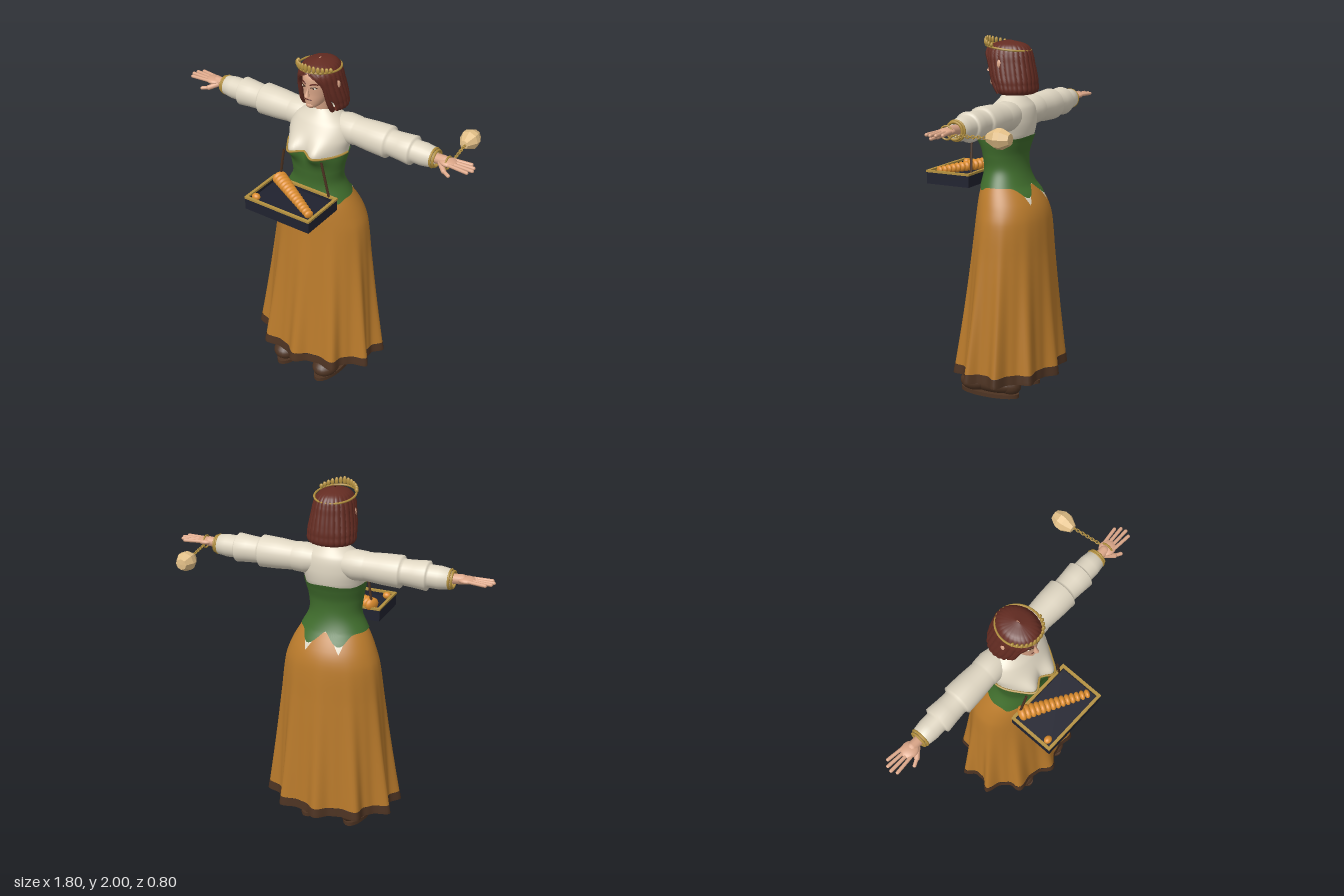
import * as THREE from 'three';
import { ParametricGeometry } from 'three/addons/geometries/ParametricGeometry.js';

const V = (x, y, z) => new THREE.Vector3(x, y, z);
const RAD = Math.PI / 180;
const bell = (d, w) => Math.exp(-((d / w) ** 2));

// Smooth lookup in a table of rows [y, halfWidth, frontZ, backZ, ...]
function at(table, y) {
  const last = table.length - 1;
  let i = 0;
  while (i < last - 1 && y > table[i + 1][0]) i++;
  const slope = (k, c) => {
    const p = table[Math.max(k - 1, 0)], q = table[Math.min(k + 1, last)];
    return (q[c] - p[c]) / (q[0] - p[0]);
  };
  const h = table[i + 1][0] - table[i][0];
  const t = THREE.MathUtils.clamp((y - table[i][0]) / h, 0, 1), t2 = t * t, t3 = t2 * t;
  return table[i].map((v, c) => (2 * t3 - 3 * t2 + 1) * v + (3 * t2 - 2 * t3) * table[i + 1][c]
    + h * ((t3 - 2 * t2 + t) * slope(i, c) + (t3 - t2) * slope(i + 1, c)));
}

// Point on an oval cross-section; angle 0 is the front, +90 degrees the left
function oval(table, a, y, grow = 0, k = 1) {
  const [, w, f, b] = at(table, y);
  return V((w * k + grow) * Math.sin(a), y, (f + b) / 2 + ((f - b) / 2 * k + grow) * Math.cos(a));
}

const SKIRT = [[0.13, 0.365, 0.25, -0.295], [0.5, 0.325, 0.203, -0.268], [0.8, 0.293, 0.17, -0.248],
  [1.0, 0.27, 0.15, -0.235], [1.08, 0.245, 0.145, -0.217], [1.15, 0.212, 0.138, -0.18], [1.215, 0.172, 0.122, -0.13]];
const BODY = [[1.08, 0.245, 0.145, -0.217], [1.15, 0.212, 0.138, -0.18], [1.2, 0.18, 0.125, -0.14],
  [1.28, 0.142, 0.114, -0.11], [1.36, 0.146, 0.122, -0.105], [1.43, 0.16, 0.132, -0.125], [1.48, 0.168, 0.128, -0.143],
  [1.55, 0.178, 0.112, -0.15], [1.62, 0.155, 0.072, -0.14], [1.66, 0.1, 0.038, -0.112], [1.69, 0.055, 0.015, -0.08]];
const HEAD = [[1.722, 0.012, 0.083, 0.04], [1.735, 0.035, 0.094, 0], [1.77, 0.058, 0.1, -0.06], [1.81, 0.069, 0.1, -0.08],
  [1.86, 0.075, 0.103, -0.1], [1.91, 0.074, 0.097, -0.1], [1.95, 0.055, 0.06, -0.075], [1.965, 0.005, 0.005, -0.02]];
// The fifth column is half the angle of the opening around the face
const HAIR = [[1.685, 0.06, -0.01, -0.1, 62], [1.695, 0.118, 0.04, -0.158, 60], [1.75, 0.13, 0.07, -0.168, 55],
  [1.8, 0.125, 0.092, -0.162, 46], [1.86, 0.115, 0.107, -0.15, 38], [1.9, 0.108, 0.114, -0.142, 28],
  [1.935, 0.094, 0.103, -0.128, 0], [1.96, 0.068, 0.07, -0.095, 0], [1.978, 0.004, 0, -0.02, 0]];

function bodyPoint(a, y, grow = 0) {
  const p = oval(BODY, a, y, grow);
  if (Math.cos(a) > 0) p.z += 0.055 * bell(y - 1.485, 0.055) * bell(Math.abs(p.x) - 0.075, 0.052);
  return p;
}
function skirtPoint(a, y, grow = 0) {
  const drop = THREE.MathUtils.clamp((1.1 - y) / 0.97, 0, 1);
  return oval(SKIRT, a, y, grow, 1 + 0.085 * drop ** 1.4 * (Math.cos(10 * a) + 0.3 * Math.cos(20 * a) - 0.25));
}
const bustEdge = a => 1.465 + 0.018 * Math.max(0, Math.cos(a)) + 0.006 * Math.cos(4 * a);

export function createModel() {
  const model = new THREE.Group();
  model.name = 'pastrySeller';
  const mat = (name, color, side = THREE.FrontSide) => {
    const m = new THREE.MeshStandardMaterial({ color, side });
    m.name = name;
    return m;
  };
  const skirtCloth = mat('ochre cloth', 0xb97a2b, THREE.DoubleSide);
  const green = mat('green bodice', 0x3f6c2c, THREE.DoubleSide);
  const cream = mat('cream linen', 0xdfd6c2, THREE.DoubleSide);
  const hairRed = mat('auburn hair', 0x642c22, THREE.DoubleSide);
  const brown = mat('brown leather', 0x4d3322, THREE.DoubleSide);
  const skin = mat('skin', 0xdba688);
  const gold = mat('gold', 0xb3903f);
  const navy = mat('navy tray', 0x20222f);
  const pastry = mat('pastry', 0xdb8c2e);
  const wood = mat('pale wood', 0xe3c088);

  const add = (name, geo, material, pos) => {
    const m = new THREE.Mesh(geo, material);
    m.name = name;
    if (pos) m.position.copy(pos);
    model.add(m);
    return m;
  };
  // Wrapped surface: fn(u, v) gives a point, u runs around and v upward
  const wrap = (name, fn, nu, nv, material) =>
    add(name, new ParametricGeometry((u, v, p) => p.copy(fn(u, v)), nu, nv), material);
  const ball = (name, pos, rx, ry, rz, material) =>
    add(name, new THREE.SphereGeometry(1, 20, 14).scale(rx, ry, rz), material, pos);
  const rod = (name, a, b, r, material) => {
    const d = b.clone().sub(a), m = add(name, new THREE.CapsuleGeometry(r, d.length(), 5, 12), material);
    m.position.copy(a).add(b).multiplyScalar(0.5);
    m.quaternion.setFromUnitVectors(V(0, 1, 0), d.normalize());
    return m;
  };
  const tube = (name, pts, r, material, closed = false) =>
    add(name, new THREE.TubeGeometry(new THREE.CatmullRomCurve3(pts, closed), pts.length * 4, r, 6, closed), material);
  const box = (name, w, h, d, x, y, z, material) => add(name, new THREE.BoxGeometry(w, h, d), material, V(x, y, z));
  const turn = u => (u * 2 - 1) * Math.PI;
  const lerp = THREE.MathUtils.lerp;

  // Pleated skirt with a dark hem
  wrap('skirt', (u, v) => skirtPoint(turn(u), lerp(0.18, 1.215, v)), 160, 40, skirtCloth);
  wrap('skirtHem', (u, v) => skirtPoint(turn(u), lerp(0.128, 0.18, v), 0.002), 160, 3, brown);

  // Bodice with pointed tails, linen showing beneath them, and the blouse above
  const backTail = a => Math.abs(Math.abs(a) - 156 * RAD);
  const tailEdge = a => 1.195 - 0.055 * bell(backTail(a), 0.26) - 0.02 * bell(Math.abs(a) - 1.0, 0.2)
    + 0.015 * bell(Math.PI - Math.abs(a), 0.12);
  wrap('linenTails', (u, v) => {
    const a = turn(u);
    return bodyPoint(a, lerp(1.2 - 0.1 * Math.max(0, 1 - backTail(a) / 0.24), 1.24, v), 0.005);
  }, 120, 8, cream);
  wrap('bodice', (u, v) => {
    const a = turn(u);
    return bodyPoint(a, lerp(tailEdge(a), bustEdge(a), v), 0.008);
  }, 96, 32, green);
  wrap('blouse', (u, v) => bodyPoint(turn(u), lerp(1.44, 1.69, v), 0.002), 80, 30, cream);
  const trim = Array.from({ length: 49 }, (_, i) => {
    const a = (i / 24 - 1) * 1.6;
    return bodyPoint(a, bustEdge(a), 0.009);
  });
  tube('bustTrim', trim, 0.006, gold);

  // Neck and head
  rod('neck', V(0, 1.66, -0.03), V(0, 1.78, -0.01), 0.045, skin);
  wrap('head', (u, v) => oval(HEAD, turn(u), lerp(1.722, 1.965, v)), 40, 36, skin);
  const face = (x, y, out = 0) => {
    const [, w, f, b] = at(HEAD, y);
    return V(x, y, (f + b) / 2 + (f - b) / 2 * Math.sqrt(1 - (x / w) ** 2) + out);
  };
  add('nose', new THREE.ConeGeometry(0.013, 0.05, 12).scale(1, 1, 1.3).rotateX(-0.2), skin, face(0, 1.828, 0.004));
  ball('chin', V(0, 1.744, 0.085), 0.024, 0.016, 0.016, skin);
  tube('upperLip', [-0.02, 0, 0.02].map(x => face(x, x ? 1.778 : 1.781, 0)), 0.0035, hairRed);
  for (const s of [1, -1]) {
    ball('eyeWhite', face(s * 0.03, 1.85, -0.002), 0.014, 0.007, 0.005, cream);
    ball('iris', face(s * 0.03, 1.85, 0.001), 0.006, 0.006, 0.004, brown);
    tube('upperLid', [0.014, 0.03, 0.046].map((x, i) => face(s * x, [1.852, 1.858, 1.852][i], 0.002)), 0.0025, brown);
    tube('eyebrow', [0.012, 0.03, 0.05].map((x, i) => face(s * x, [1.868, 1.876, 1.87][i], 0.001)), 0.004, hairRed);
    ball('ear', V(s * 0.108, 1.855, -0.01), 0.014, 0.028, 0.016, skin);
  }

  // Bobbed hair with strand ridges, and rolled locks framing the face
  wrap('hair', (u, v) => {
    const y = lerp(1.685, 1.978, v), open = Math.max(0, at(HAIR, y)[4]) * RAD;
    const a = open + u * (2 * Math.PI - 2 * open);
    return oval(HAIR, a, y, 0, 1 + 0.035 * Math.abs(Math.sin(13 * a)) * Math.min(1, (1 - v) * 5));
  }, 150, 44, hairRed);
  for (const s of [1, -1]) {
    tube('faceLock', [[0.015, 1.935, 0.098], [0.052, 1.91, 0.092], [0.076, 1.86, 0.066], [0.083, 1.8, 0.05],
      [0.088, 1.74, 0.03], [0.088, 1.7, 0.005]].map(p => V(s * p[0], p[1], p[2])), 0.014, hairRed);
  }

  // Tilted circlet with leaf points at the front
  const crownPoint = a => V(0.108 * Math.sin(a), 1.937 + 0.014 * Math.cos(a), -0.006 + 0.125 * Math.cos(a));
  tube('circlet', Array.from({ length: 24 }, (_, i) => crownPoint(i * Math.PI / 12)), 0.006, gold, true);
  for (let i = -6; i <= 6; i++) {
    const a = i * 0.2, h = 0.024 - 0.0018 * Math.abs(i);
    ball('circletLeaf', crownPoint(a).add(V(0, h * 0.95, 0.003)), 0.011, h, 0.008, gold);
  }

  // Sleeves in puffed tiers, cuffs and hands
  const tiers = [[0.08, 0.07], [0.14, 0.083], [0.2, 0.08], [0.21, 0.077], [0.3, 0.084], [0.4, 0.088], [0.405, 0.074], [0.42, 0.07],
    [0.48, 0.074], [0.545, 0.08], [0.55, 0.066], [0.56, 0.061], [0.61, 0.062], [0.665, 0.054], [0.67, 0.035]];
  for (const s of [1, -1]) {
    const sleeve = new THREE.LatheGeometry(tiers.map(([x, r]) => new THREE.Vector2(r, x)), 28).rotateZ(-s * Math.PI / 2);
    add('sleeve', sleeve, cream, V(0, 1.583, -0.063));
    for (const [x, r] of [[0.668, 0.05], [0.682, 0.044]])
      add('bracelet', new THREE.TorusGeometry(r, 0.007, 8, 28).rotateY(Math.PI / 2), gold, V(s * x, 1.583, -0.063));
    const P = (x, y, z) => V(s * x, y, z);
    rod('wrist', P(0.64, 1.585, -0.06), P(0.73, 1.59, -0.06), 0.027, skin);
    ball('palm', P(0.752, 1.59, -0.058), 0.05, 0.019, 0.044, skin);
    [[0.862, -0.102], [0.886, -0.078], [0.893, -0.05], [0.878, -0.02]].forEach(([x, z], i) =>
      rod('finger', P(0.76, 1.592, -0.088 + i * 0.02), P(x, 1.59, z), 0.0095, skin));
    rod('thumb', P(0.715, 1.58, -0.04), P(0.755, 1.562, -0.008), 0.014, skin);
    rod('thumbTip', P(0.755, 1.562, -0.008), P(0.79, 1.555, 0.008), 0.01, skin);
  }

  // Chained wooden weight on the left hand
  const chainStart = V(0.755, 1.572, -0.08), chainEnd = V(0.728, 1.572, -0.275);
  for (let i = 0; i <= 13; i++) {
    const link = add('chainLink', new THREE.TorusGeometry(0.008, 0.0028, 5, 10).scale(1.3, 1, 1).rotateY(Math.PI / 2),
      gold, chainStart.clone().lerp(chainEnd, i / 13));
    link.rotation.z = (i % 2) * Math.PI / 2;
  }
  add('handRing', new THREE.TorusGeometry(0.034, 0.005, 6, 20).rotateY(Math.PI / 2), gold, V(0.752, 1.585, -0.058));
  const weight = new THREE.LatheGeometry([[0, 0], [0.03, 0.002], [0.053, 0.045], [0.053, 0.075], [0.024, 0.128], [0, 0.132]]
    .map(p => new THREE.Vector2(...p)), 8).rotateX(Math.PI / 2).toNonIndexed();
  weight.computeVertexNormals();
  add('woodenWeight', weight, wood, V(0.722, 1.572, -0.4));

  // Serving tray with raised walls, gold rim and straps
  box('trayFloor', 0.41, 0.045, 0.265, 0, 1.21, 0.2625, navy);
  for (const s of [1, -1]) {
    box('traySide', 0.012, 0.07, 0.265, s * 0.199, 1.222, 0.2625, navy);
    box('trayEnd', 0.386, 0.07, 0.012, 0, 1.222, 0.2625 + s * 0.1265, navy);
    box('trayRimSide', 0.016, 0.012, 0.27, s * 0.2, 1.257, 0.2625, gold);
    box('trayRimEnd', 0.4, 0.012, 0.016, 0, 1.257, 0.2625 + s * 0.127, gold);
    tube('trayStrap', [V(s * 0.12, 1.465, 0.155), V(s * 0.137, 1.38, 0.15), V(s * 0.158, 1.26, 0.14)], 0.007, brown);
  }

  // Row of overlapping pastries and one loose bun
  for (let i = 0; i < 14; i++) {
    const t = i / 13, r = lerp(0.037, 0.022, t);
    const bun = ball('pastryRoll', V(lerp(-0.15, 0.165, t), 1.24 + r * 0.9, lerp(0.155, 0.335, t)), r * 0.65, r, r * 1.15, pastry);
    bun.rotation.y = -0.52;
  }
  ball('looseBun', V(-0.165, 1.253, 0.35), 0.024, 0.02, 0.02, pastry);

  // Boots
  for (const s of [1, -1]) {
    rod('bootLeg', V(s * 0.115, 0.09, -0.075), V(s * 0.1, 0.6, -0.05), 0.052, brown);
    ball('bootFoot', V(s * 0.13, 0.065, 0.02), 0.064, 0.056, 0.16, brown);
    ball('bootToe', V(s * 0.138, 0.065, 0.13), 0.074, 0.056, 0.09, brown);
    ball('bootHeel', V(s * 0.12, 0.065, -0.08), 0.056, 0.06, 0.065, brown);
    const sole = new THREE.CylinderGeometry(1, 1, 0.022, 28).scale(0.07, 1, 0.18);
    add('bootSole', sole, brown, V(s * 0.132, 0.012, 0.04));
  }
  return model;
}
